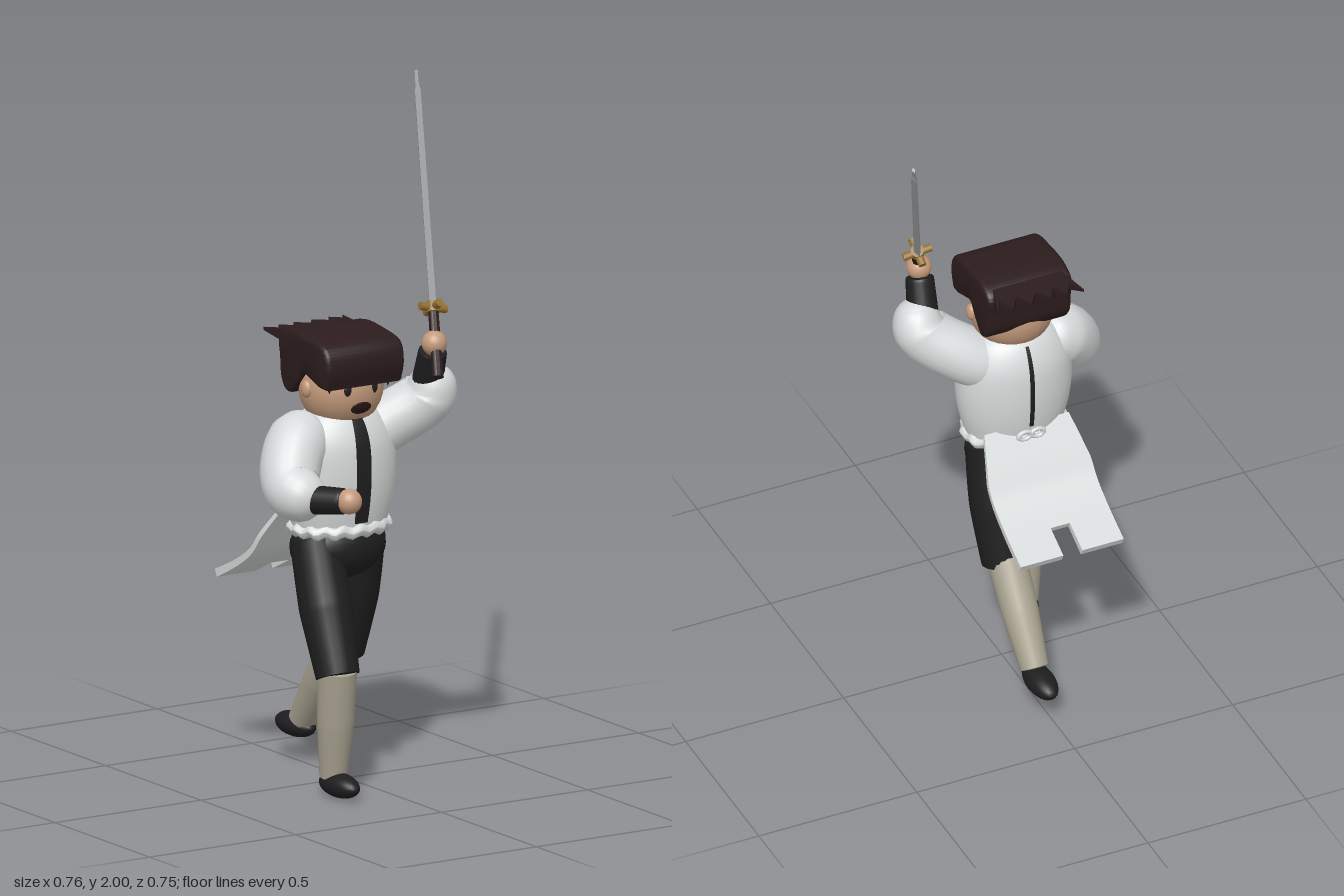
import * as THREE from 'three';
import { toCreasedNormals } from 'three/addons/utils/BufferGeometryUtils.js';

const mat = (name, color, side = THREE.FrontSide) => {
  const m = new THREE.MeshStandardMaterial({ color, side });
  m.name = name;
  return m;
};
const V = (x, y, z) => new THREE.Vector3(x, y, z);

export function createModel() {
  const model = new THREE.Group();
  model.name = 'swordsman';
  const skin = mat('skin', 0xc49a7c), hairMat = mat('dark brown hair', 0x2c1c1d);
  const white = mat('white cloth', 0xd6d9d9), black = mat('black cloth', 0x1e1e1e, THREE.DoubleSide);
  const stocking = mat('beige stocking', 0xa8a290), steel = mat('steel', 0x9fa1a3);
  const gold = mat('brass', 0x93702f), mouthMat = mat('mouth', 0x2b1517);

  const add = (name, geo, material, parent = model) => {
    const m = new THREE.Mesh(geo, material);
    m.name = name;
    parent.add(m);
    return m;
  };
  const ball = (name, c, r, material) => {
    const m = add(name, new THREE.SphereGeometry(1, 24, 16), material);
    m.position.set(...c);
    m.scale.set(...r);
    return m;
  };

  // Tapered tube through points, closed by caps of the given length
  const limb = (name, pts, radii, material, cap = 0.004) => {
    const curve = new THREE.CatmullRomCurve3(pts.map((p) => V(...p)));
    const len = curve.getLength(), n = 40, sides = 20;
    const geo = new THREE.TubeGeometry(curve, n, 1, sides, false);
    const pos = geo.attributes.position, v = V();
    for (let i = 0; i <= n; i++) {
      const u = i / n, c = curve.getPointAt(u);
      const f = u * (radii.length - 1), k = Math.min(Math.floor(f), radii.length - 2);
      const d = Math.min(1, Math.min(u, 1 - u) * len / cap);
      const r = THREE.MathUtils.lerp(radii[k], radii[k + 1], f - k) * Math.sqrt(1 - (1 - d) ** 2) + 1e-4;
      for (let j = 0; j <= sides; j++) {
        const id = i * (sides + 1) + j;
        v.fromBufferAttribute(pos, id).sub(c).multiplyScalar(r).add(c);
        pos.setXYZ(id, v.x, v.y, v.z);
      }
    }
    return add(name, toCreasedNormals(geo, 0.9), material);
  };

  // Shirt body, with the front band and back slit following the same profile
  const outline = new THREE.SplineCurve([[0.145, 0.77], [0.168, 0.86], [0.176, 0.95], [0.166, 1.04],
    [0.12, 1.11], [0.05, 1.14]].map((p) => new THREE.Vector2(...p)));
  const profile = outline.getPoints(24);
  const onBody = (name, pts, grow, from, sweep, material) => {
    const geo = new THREE.LatheGeometry(pts.map((p) => new THREE.Vector2(p.x + grow, p.y)),
      sweep > 6 ? 40 : 6, from, sweep);
    const m = add(name, geo, material);
    m.scale.z = 0.74;
    m.position.set(-0.065, 0, 0.06);
    return m;
  };
  onBody('shirt', profile, 0, 0, Math.PI * 2, white);
  const band = profile.filter((p) => p.y > 0.795 && p.y < 1.11);
  onBody('frontBand', band, 0.005, -0.14, 0.28, black);
  onBody('backSlit', band.filter((p) => p.y > 0.83), 0.004, Math.PI - 0.04, 0.08, black);

  // Gathered hem at the waist
  const hem = new THREE.TorusGeometry(0.142, 0.019, 10, 72).rotateX(Math.PI / 2);
  const hp = hem.attributes.position;
  for (let i = 0; i < hp.count; i++) {
    const a = Math.atan2(hp.getZ(i), hp.getX(i)), s = 1 + 0.025 * Math.sin(a * 13);
    hp.setXYZ(i, hp.getX(i) * s, hp.getY(i) + 0.005 * Math.sin(a * 17), hp.getZ(i) * s * 0.77);
  }
  hem.computeVertexNormals();
  add('hem', hem, white).position.set(-0.065, 0.777, 0.06);
  for (const s of [-1, 1]) {
    const loop = add('bowLoop', new THREE.TorusGeometry(0.016, 0.007, 8, 16), white);
    loop.position.set(-0.065 + s * 0.02, 0.815, -0.062);
    loop.scale.set(1.2, 0.8, 1);
  }

  // Coat tail: bent panel that splits into two flaps
  const fall = new THREE.CatmullRomCurve3([V(0, 0.83, -0.03), V(0, 0.745, -0.1), V(0, 0.675, -0.155),
    V(0, 0.625, -0.23), V(0, 0.57, -0.342)]);
  const panel = (name, x0, x1, u0, u1) => {
    const geo = new THREE.BoxGeometry(1, 1, 1, 4, 1, 14), p = geo.attributes.position;
    for (let i = 0; i < p.count; i++) {
      const u = THREE.MathUtils.lerp(u1, u0, p.getZ(i) + 0.5);
      const c = fall.getPointAt(u), t = fall.getTangentAt(u);
      const thick = p.getY(i) * (0.012 + 0.012 * u);
      const x = THREE.MathUtils.lerp(x0, x1, p.getX(i) + 0.5);
      const narrow = 0.82 + 0.18 * Math.min(1, u / 0.35);
      p.setXYZ(i, -0.063 + (x + 0.063) * narrow, c.y - t.z * thick, c.z + t.y * thick);
    }
    return add(name, toCreasedNormals(geo, 0.7), white);
  };
  panel('coatTail', -0.226, 0.1, 0, 0.77);
  panel('rightFlap', -0.226, -0.095, 0.77, 1);
  panel('leftFlap', -0.035, 0.1, 0.77, 1);

  // Trousers, stockings and shoes
  ball('hips', [-0.065, 0.715, 0.052], [0.152, 0.1, 0.105], black);
  limb('rightTrouser', [[-0.142, 0.75, 0.05], [-0.148, 0.56, 0.115], [-0.155, 0.355, 0.195]], [0.074, 0.078, 0.063], black);
  limb('leftTrouser', [[0.014, 0.75, 0.05], [0.018, 0.56, 0.005], [0.012, 0.365, -0.048]], [0.074, 0.076, 0.066], black);
  limb('rightStocking', [[-0.155, 0.39, 0.19], [-0.144, 0.05, 0.15]], [0.057, 0.053, 0.039], stocking);
  limb('leftStocking', [[0.011, 0.405, -0.045], [0.01, 0.12, -0.252]], [0.058, 0.054, 0.041], stocking);
  ball('rightShoe', [-0.145, 0.04, 0.185], [0.042, 0.036, 0.088], black);
  ball('leftShoe', [0.01, 0.105, -0.285], [0.042, 0.036, 0.088], black);

  // Arms: full sleeves, black cuffs, round fists
  limb('rightSleeve', [[-0.13, 1.07, 0.05], [-0.225, 1.03, 0.08], [-0.288, 0.93, 0.155], [-0.26, 0.905, 0.265]],
    [0.07, 0.092, 0.088, 0.082, 0.06], white, 0.06);
  limb('rightCuff', [[-0.275, 0.908, 0.22], [-0.218, 0.916, 0.325]], [0.043, 0.038], black);
  ball('rightHand', [-0.212, 0.918, 0.34], [0.037, 0.037, 0.037], skin);
  limb('leftSleeve', [[-0.03, 1.0, 0.045], [0.09, 1.06, 0.075], [0.195, 1.145, 0.135], [0.18, 1.235, 0.16]],
    [0.08, 0.085, 0.084, 0.082, 0.05], white, 0.06);
  limb('leftCuff', [[0.182, 1.18, 0.145], [0.172, 1.285, 0.19]], [0.046, 0.041], black);
  ball('leftHand', [0.168, 1.308, 0.203], [0.037, 0.037, 0.037], skin);

  // Head and face
  ball('head', [-0.065, 1.188, 0.07], [0.126, 0.124, 0.116], skin);
  for (const s of [-1, 1]) {
    ball('ear', [-0.065 + s * 0.125, 1.195, 0.08], [0.014, 0.026, 0.02], skin);
    ball('eye', [-0.065 + s * 0.043, 1.198, 0.175], [0.014, 0.018, 0.006], black);
  }
  const mouth = ball('mouth', [-0.065, 1.142, 0.176], [0.034, 0.02, 0.005], mouthMat);
  mouth.rotation.x = 0.4;

  // Hair: side outline swept across the head, fringe, and spikes blown backwards
  const side = new THREE.Shape();
  side.moveTo(0.18, 1.222);
  side.splineThru([[0.192, 1.27], [0.175, 1.32], [0.1, 1.337], [0.01, 1.343], [-0.045, 1.322],
    [-0.042, 1.27], [-0.035, 1.21], [-0.008, 1.18], [0.03, 1.21], [0.065, 1.25], [0.11, 1.24], [0.15, 1.225],
    [0.18, 1.222]].map((p) => new THREE.Vector2(...p)));
  const hair = new THREE.ExtrudeGeometry(side, { depth: 0.236, bevelEnabled: true, bevelSize: 0.012,
    bevelThickness: 0.016, bevelSegments: 3, curveSegments: 40, steps: 1 });
  hair.translate(0, 0, -0.118).rotateY(-Math.PI / 2);
  add('hair', toCreasedNormals(hair, 0.8), hairMat).position.x = -0.065;
  for (const [x, w, h] of [[-0.165, 0.03, 0.06], [-0.125, 0.024, 0.045], [-0.085, 0.022, 0.045],
    [-0.042, 0.022, 0.04], [-0.005, 0.024, 0.048], [0.035, 0.03, 0.06]]) {
    const lock = add('fringeLock', new THREE.ConeGeometry(w, h, 8), hairMat);
    lock.rotation.x = Math.PI;
    lock.scale.z = 0.5;
    lock.position.set(x, 1.222, 0.178 - Math.abs(x + 0.065) * 0.15);
  }
  const comb = new THREE.Shape();
  comb.moveTo(-0.165, 0);
  comb.lineTo(0.035, 0);
  const tips = [0.072, 0.023, -0.035, -0.097, -0.148, -0.2];
  tips.forEach((x, i) => {
    comb.lineTo(x, 0.132);
    if (i < 5) comb.lineTo((x + tips[i + 1]) / 2, 0.087);
  });
  const spikes = new THREE.ExtrudeGeometry(comb, { depth: 0.06, bevelEnabled: false });
  spikes.rotateX(-Math.PI / 2);
  const sp = spikes.attributes.position;
  for (let i = 0; i < sp.count; i++) {
    const t = -sp.getZ(i) / 0.132;
    sp.setY(i, 1.288 + 0.04 * t + sp.getY(i) * (1 - 0.85 * t));
  }
  spikes.computeVertexNormals();
  add('hairSpikes', spikes, hairMat);

  // Raised sword, built upright from the guard and then tilted
  const sword = new THREE.Group();
  sword.name = 'sword';
  model.add(sword);
  const dir = V(0.183, 0.6, -0.37).normalize();
  const flat = V(1, 0, 0).addScaledVector(dir, -dir.x).normalize();
  sword.quaternion.setFromRotationMatrix(new THREE.Matrix4().makeBasis(flat, dir, flat.clone().cross(dir)));
  sword.position.set(0.195, 1.4, 0.155);
  const rod = (name, r0, r1, l, sides, y, material, sx = 1) => {
    const g = new THREE.CylinderGeometry(r1, r0, l, sides).scale(sx, 1, 1).translate(0, y + l / 2, 0);
    return add(name, toCreasedNormals(g, 0.7), material, sword);
  };
  rod('blade', 0.021, 0.018, 0.665, 4, 0, steel, 0.5);
  rod('bladeShoulder', 0.018, 0.01, 0.02, 4, 0.665, steel, 0.5);
  rod('bladeTip', 0.01, 0.009, 0.044, 4, 0.685, steel, 0.6);
  rod('grip', 0.017, 0.015, 0.215, 10, -0.215, hairMat);
  rod('guardHub', 0.02, 0.02, 0.03, 10, -0.015, gold);
  for (const axis of ['x', 'z']) {
    const bar = add('guardBar', new THREE.CylinderGeometry(0.012, 0.012, 0.086, 10), gold, sword);
    bar.rotation[axis] = Math.PI / 2;
  }
  return model;
}
